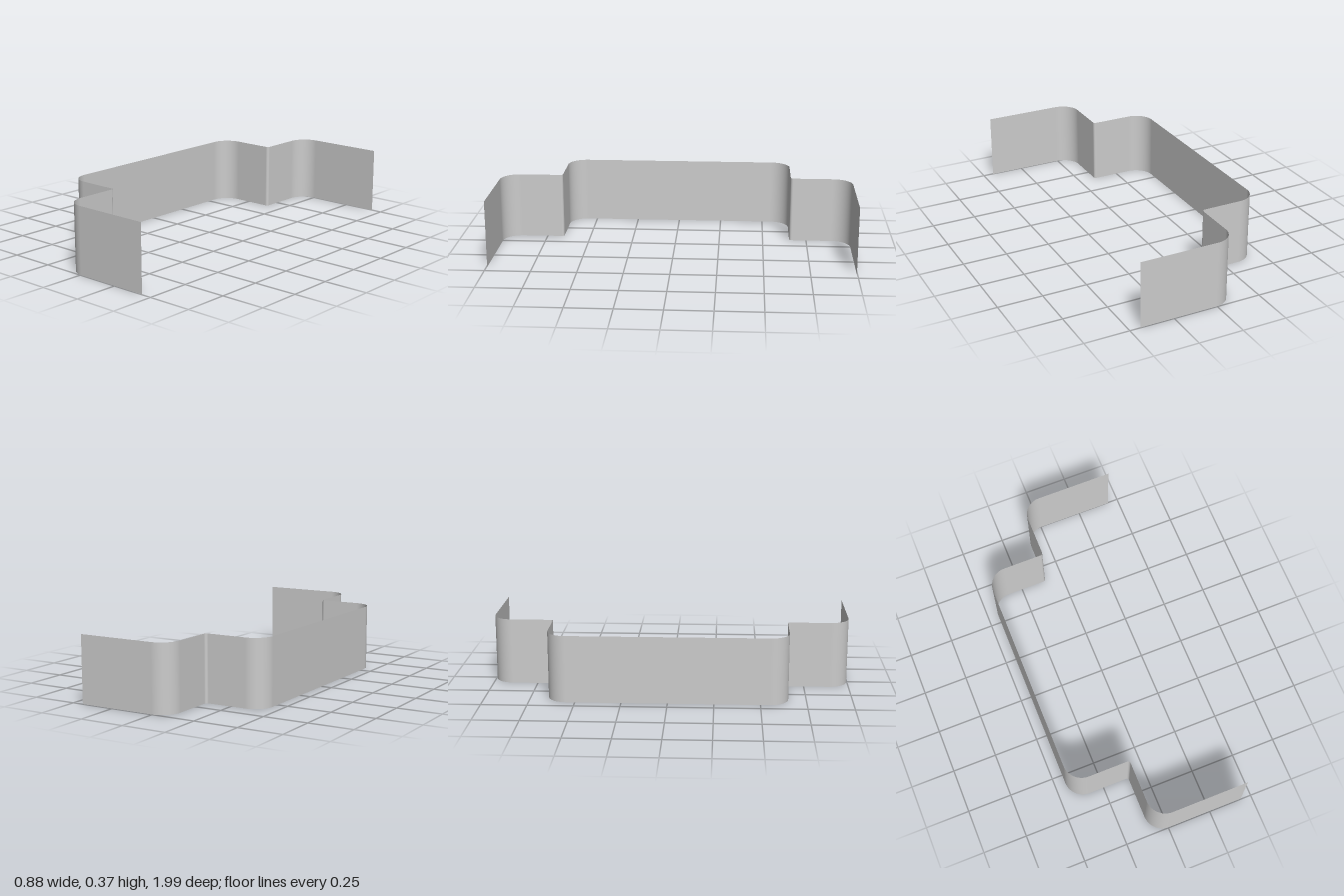
import * as THREE from 'three';

const HEIGHT = 0.37;
const BIG = 0.105;   // radius of the wide bends
const SMALL = 0.015; // radius of the tight inner bends
const ARC_STEPS = 14;

// Stepped plan outline as corner points [x, z, bend radius], back half only
const HALF = [
  [0.44, -0.997, 0],
  [-0.1, -0.997, BIG],
  [-0.1, -0.653, SMALL],
  [-0.44, -0.653, BIG],
];

// Walk the outline, rounding each corner; returns points with their headings
function roundedPath(corners) {
  const path = [];
  const at = (i) => new THREE.Vector2(corners[i][0], corners[i][1]);
  corners.forEach(([, , r], i) => {
    const p = at(i);
    if (r === 0) {
      const dir = i === 0 ? at(1).sub(p) : p.clone().sub(at(i - 1));
      path.push({ p, heading: dir.normalize() });
      return;
    }
    const into = p.clone().sub(at(i - 1)).normalize();
    const out = at(i + 1).sub(p).normalize();
    const centre = p.clone().addScaledVector(into, -r).addScaledVector(out, r);
    for (let k = 0; k <= ARC_STEPS; k++) {
      const t = (k / ARC_STEPS) * Math.PI / 2, c = Math.cos(t), s = Math.sin(t);
      path.push({
        p: centre.clone().addScaledVector(out, -r * c).addScaledVector(into, r * s),
        heading: into.clone().multiplyScalar(c).addScaledVector(out, s),
      });
    }
  });
  return path;
}

// Raise a plan path into an upright sheet with smooth normals
function ribbon(path, height) {
  const positions = [], normals = [], index = [];
  path.forEach(({ p, heading }, i) => {
    for (const y of [0, height]) {
      positions.push(p.x, y, p.y);
      normals.push(-heading.y, 0, heading.x);
    }
    if (i > 0) {
      const a = 2 * (i - 1);
      index.push(a, a + 2, a + 3, a, a + 3, a + 1);
    }
  });
  const geometry = new THREE.BufferGeometry();
  geometry.setAttribute('position', new THREE.Float32BufferAttribute(positions, 3));
  geometry.setAttribute('normal', new THREE.Float32BufferAttribute(normals, 3));
  geometry.setIndex(index);
  return geometry;
}

export function createModel() {
  const group = new THREE.Group();
  group.name = 'steppedBracket';

  // One continuous bent strip, mirrored front to back
  const mirrored = HALF.map(([x, z, r]) => [x, -z, r]).reverse();
  const strip = new THREE.Mesh(
    ribbon(roundedPath([...HALF, ...mirrored]), HEIGHT),
    new THREE.MeshStandardMaterial({ color: 0xcccccc, side: THREE.DoubleSide })
  );
  strip.name = 'bentStrip';
  group.add(strip);
  return group;
}
